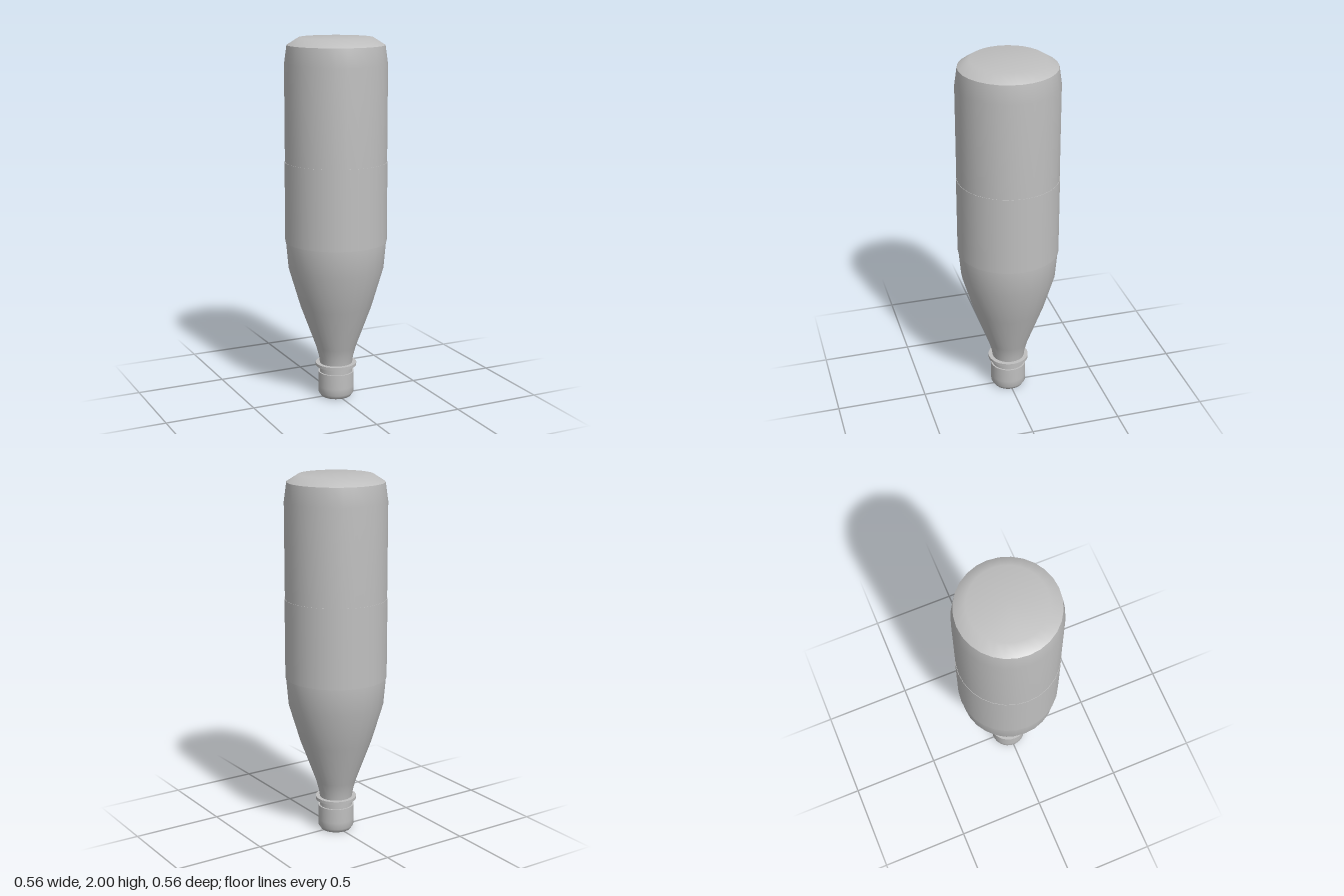
import * as THREE from 'three';

const SIDES = 28;

// Revolve a bottom-to-top profile of [radius, height] pairs
function turned(name, profile, material) {
  const points = profile.map(([r, y]) => new THREE.Vector2(r, y));
  const mesh = new THREE.Mesh(new THREE.LatheGeometry(points, SIDES), material);
  mesh.name = name;
  return mesh;
}

export function createModel() {
  const grey = new THREE.MeshStandardMaterial({ color: 0xbfbfbf });
  grey.name = 'plain grey';

  const bottle = new THREE.Group();
  bottle.name = 'upturnedBottle';

  // Tapering neck, shoulder and straight wall
  bottle.add(turned('body', [
    [0.09, 0.19], [0.096, 0.23], [0.112, 0.29], [0.2, 0.53], [0.262, 0.74],
    [0.276, 0.9], [0.277, 1.33], [0.277, 1.86], [0.263, 1.96],
  ], grey));

  // Bevelled base, facing up
  bottle.add(turned('base', [[0.263, 1.96], [0.2, 2], [0, 2]], grey));

  // Label wrapped around the wall
  bottle.add(turned('label', [[0.279, 0.895], [0.279, 1.335]], grey));
  bottle.add(turned('labelLowerEdge', [[0.274, 0.895], [0.279, 0.895]], grey));
  bottle.add(turned('labelUpperEdge', [[0.279, 1.335], [0.276, 1.335]], grey));

  // Support ring, built as three crisp bands
  bottle.add(turned('ringUnderside', [[0.085, 0.177], [0.114, 0.177]], grey));
  bottle.add(turned('ringRim', [[0.114, 0.177], [0.114, 0.194]], grey));
  bottle.add(turned('ringTop', [[0.114, 0.194], [0.085, 0.194]], grey));

  // Short collar between ring and cap
  bottle.add(turned('collar', [[0.091, 0.14], [0.091, 0.18]], grey));

  // Screw cap, closed end on the ground
  bottle.add(turned('cap', [
    [0, 0], [0.085, 0], [0.099, 0.022], [0.1, 0.06], [0.1, 0.142],
  ], grey));
  bottle.add(turned('capShoulder', [[0.1, 0.142], [0.085, 0.142]], grey));

  return bottle;
}
